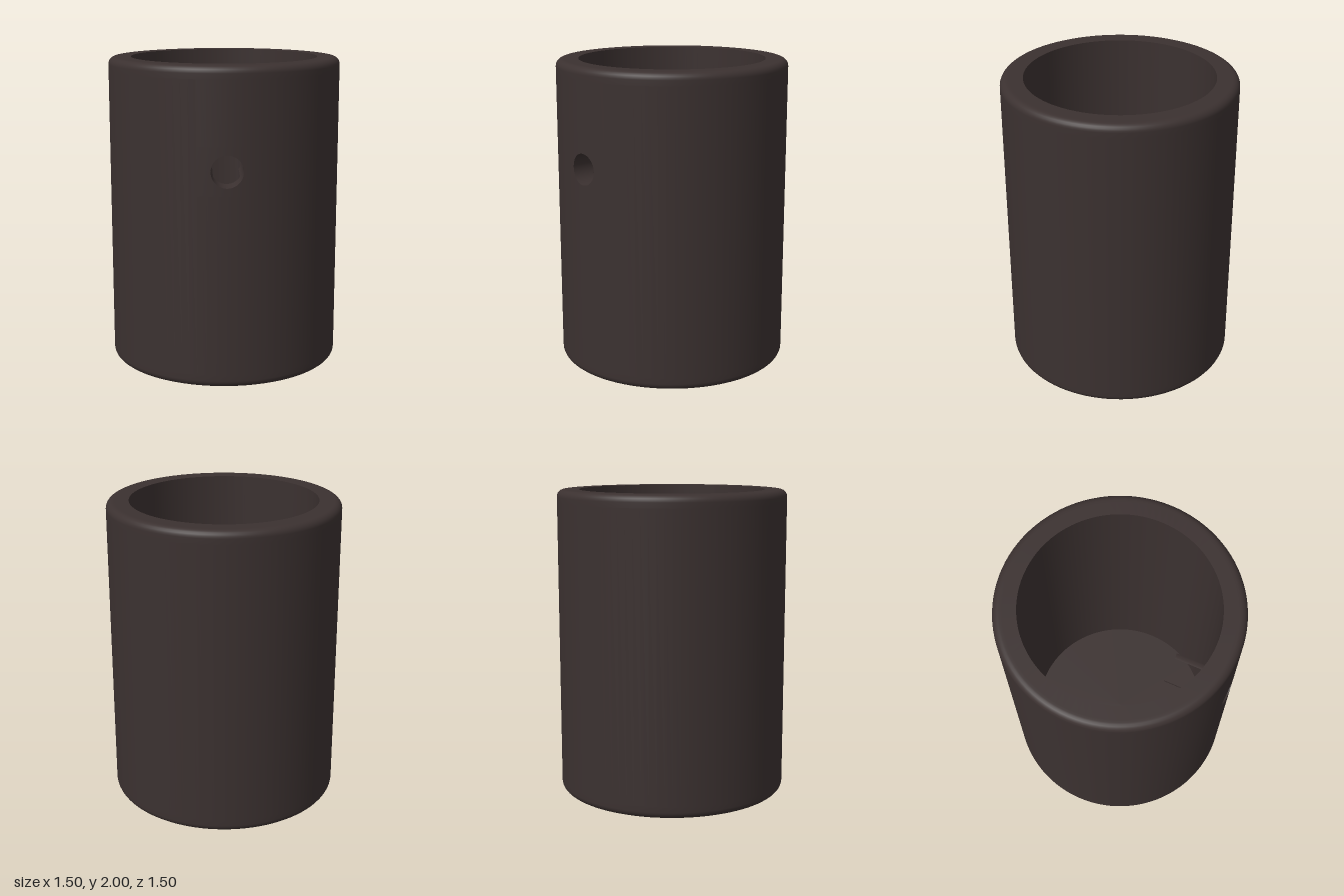
import * as THREE from 'three';

const OUTER = 0.75, INNER = 0.605, HEIGHT = 2, FLOOR = 0.15, BEVEL = 0.045;
const HOLE_Y = 1.37, HOLE_R = 0.1, PATCH = 0.15; // PATCH: half height of the pierced wall panel
const SPREAD = 0.25;                             // half angle of the pierced wall panel

// Surface from fn(u, v) -> [position, normal]; it faces along du x dv.
function surface(nu, nv, fn) {
  const pos = [], nor = [], idx = [];
  for (let j = 0; j <= nv; j++) {
    for (let i = 0; i <= nu; i++) {
      const [p, n] = fn(i / nu, j / nv);
      pos.push(...p);
      nor.push(...n);
    }
  }
  for (let j = 0; j < nv; j++) {
    for (let i = 0; i < nu; i++) {
      const a = j * (nu + 1) + i, b = a + 1, d = a + nu + 1, c = d + 1;
      idx.push(a, b, c, a, c, d);
    }
  }
  const g = new THREE.BufferGeometry();
  g.setAttribute('position', new THREE.Float32BufferAttribute(pos, 3));
  g.setAttribute('normal', new THREE.Float32BufferAttribute(nor, 3));
  g.setIndex(idx);
  return g;
}

// Point of the wall panel around the hole: s = 0 on the hole, s = 1 on the panel border.
function panelPoint(R, s, t, sign) {
  const c = Math.cos(t), k = Math.sin(t), m = Math.max(Math.abs(c), Math.abs(k));
  const phi = THREE.MathUtils.lerp(Math.asin(HOLE_R * c / R), SPREAD * c / m, s);
  const y = HOLE_Y + THREE.MathUtils.lerp(HOLE_R * k, PATCH * k / m, s);
  const x = Math.sin(phi), z = Math.cos(phi);
  return [[R * x, y, R * z], [sign * x, 0, sign * z]];
}

export function createModel() {
  const group = new THREE.Group();
  const dark = new THREE.MeshStandardMaterial({ color: 0x3b3130, side: THREE.DoubleSide });
  dark.name = 'dark brown';

  const add = (name, geometry) => {
    const mesh = new THREE.Mesh(geometry, dark);
    mesh.name = name;
    group.add(mesh);
  };
  const v2 = (x, y) => new THREE.Vector2(x, y);
  const arc = (y, from) => Array.from({ length: 7 }, (_, i) => {
    const a = from + i / 6 * Math.PI / 2;
    return v2(OUTER - BEVEL + BEVEL * Math.cos(a), y + BEVEL * Math.sin(a));
  });
  const lo = HOLE_Y - PATCH, hi = HOLE_Y + PATCH, TAU = Math.PI * 2;

  // Outer shell: underside, rounded edges, wall and rim, leaving out the pierced panel
  const below = [v2(0, 0), v2(0.69, 0), ...arc(BEVEL, -Math.PI / 2), v2(OUTER, 0.08)];
  const above = [v2(OUTER, HEIGHT - 0.08), ...arc(HEIGHT - BEVEL, 0), v2(0.69, HEIGHT), v2(INNER, HEIGHT)];
  add('outerShell', new THREE.LatheGeometry([...below, ...above], 88, SPREAD, TAU - 2 * SPREAD));
  add('frontShellLower', new THREE.LatheGeometry([...below, v2(OUTER, lo)], 12, -SPREAD, 2 * SPREAD));
  add('frontShellUpper', new THREE.LatheGeometry([v2(OUTER, hi), ...above], 12, -SPREAD, 2 * SPREAD));

  // Inner wall and floor
  const inner = (name, top, bottom, n, start, length) =>
    add(name, new THREE.LatheGeometry([v2(INNER, top), v2(INNER, bottom)], n, start, length));
  inner('innerWall', HEIGHT, FLOOR, 88, SPREAD, TAU - 2 * SPREAD);
  inner('frontInnerWallLower', lo, FLOOR, 12, -SPREAD, 2 * SPREAD);
  inner('frontInnerWallUpper', HEIGHT, hi, 12, -SPREAD, 2 * SPREAD);
  const floor = new THREE.CircleGeometry(INNER, 96);
  floor.rotateX(-Math.PI / 2).translate(0, FLOOR, 0);
  add('innerFloor', floor);

  // Wall panels around the round hole
  add('outerHolePanel', surface(4, 64, (s, t) => panelPoint(OUTER, s, t * TAU, 1)));
  add('innerHolePanel', surface(64, 4, (t, s) => panelPoint(INNER, s, t * TAU, -1)));

  // Bore through the wall
  const depth = (R, t) => Math.sqrt(R * R - (HOLE_R * Math.cos(t)) ** 2);
  const borePoint = (t, z) => [
    [HOLE_R * Math.cos(t), HOLE_Y + HOLE_R * Math.sin(t), z],
    [-Math.cos(t), -Math.sin(t), 0],
  ];
  add('holeBore', surface(64, 1, (u, v) =>
    borePoint(u * TAU, depth(v ? INNER : OUTER, u * TAU))));

  // Two slim curved rails running inward from the sides of the hole
  const SWEEP = 0.59;
  for (const [name, start] of [['rightRail', Math.PI], ['leftRail', TAU - SWEEP]]) {
    add(name, surface(3, 1, (u, v) => {
      const t = start + u * SWEEP;
      return borePoint(t, v ? 0.35 : depth(INNER, t));
    }));
  }
  return group;
}
